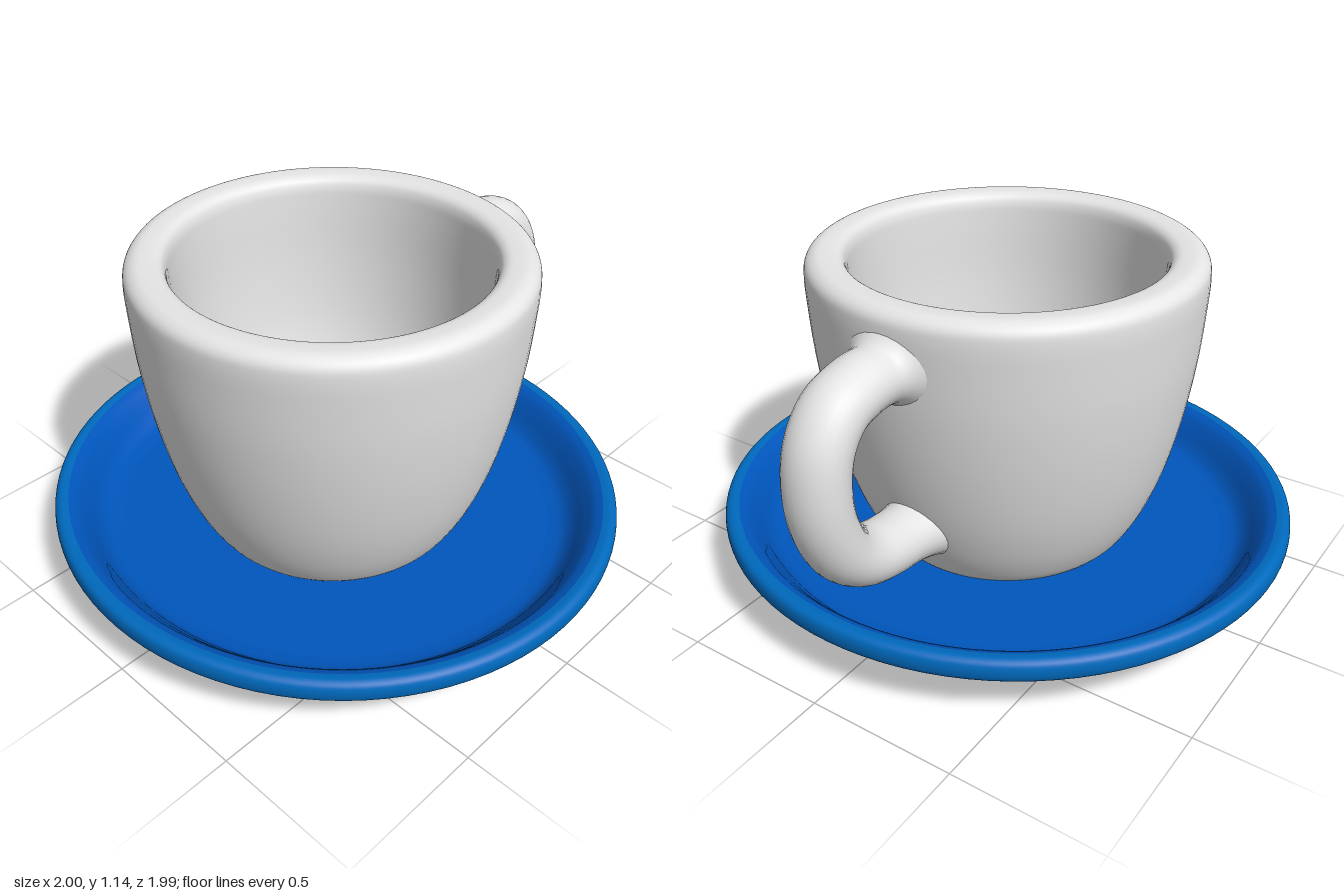
import * as THREE from 'three';

const CENTRE_X = -0.035;

function material(name, color) {
  const m = new THREE.MeshStandardMaterial({ color });
  m.name = name;
  return m;
}

// Smooth lathe through profile points listed from the bottom outwards and up
function lathe(name, points, mat, smooth = 0) {
  let profile = points.map(([r, y]) => new THREE.Vector2(r, y));
  if (smooth) profile = new THREE.SplineCurve(profile).getPoints(smooth);
  const mesh = new THREE.Mesh(new THREE.LatheGeometry(profile, 96), mat);
  mesh.name = name;
  return mesh;
}

export function createModel() {
  const model = new THREE.Group();
  model.name = 'cupAndSaucer';

  const white = material('white glaze', 0xe5e5e5);
  const rimBlue = material('rim blue', 0x0069bd);
  const plateBlue = material('plate blue', 0x0056bd);
  const navy = material('base navy', 0x0208b0);

  // Saucer: slightly oval, in three colours
  const saucer = new THREE.Group();
  saucer.name = 'saucer';
  saucer.position.x = CENTRE_X;
  saucer.scale.set(0.965, 1, 0.995);
  saucer.add(
    lathe('saucerFoot', [[0, 0], [0.77, 0]], navy),
    lathe('saucerFootSide', [[0.77, 0], [0.795, 0.012], [0.815, 0.045], [0.855, 0.09]], navy, 16),
    lathe('saucerRim', [
      [0.855, 0.09], [0.91, 0.14], [0.965, 0.163], [0.993, 0.182], [1, 0.21],
      [0.994, 0.237], [0.975, 0.249], [0.95, 0.247],
    ], rimBlue, 48),
    lathe('saucerWell', [
      [0.95, 0.247], [0.92, 0.232], [0.89, 0.2], [0.855, 0.155], [0.82, 0.129], [0.77, 0.12],
    ], plateBlue, 32),
    lathe('saucerFloor', [[0.77, 0.12], [0, 0.12]], plateBlue),
  );
  model.add(saucer);

  // Cup: tapered outer wall, rounded lip and hollow inside
  const cup = new THREE.Group();
  cup.name = 'cup';
  cup.position.x = CENTRE_X - 0.005;
  cup.add(
    lathe('cupBody', [
      [0.41, 0.11], [0.45, 0.155], [0.505, 0.26], [0.558, 0.41], [0.602, 0.6], [0.632, 0.8],
      [0.646, 0.98], [0.649, 1.07], [0.641, 1.11], [0.613, 1.132], [0.575, 1.135],
      [0.538, 1.128], [0.518, 1.1], [0.511, 1.03], [0.498, 0.8], [0.47, 0.58],
      [0.42, 0.4], [0.375, 0.315], [0.33, 0.29],
    ], white, 110),
    lathe('cupFloor', [[0.33, 0.29], [0, 0.29]], white),
  );
  model.add(cup);

  // Handle: a loop that widens where it joins the cup
  const path = new THREE.CatmullRomCurve3([
    [0.565, 0.953], [0.63, 0.949], [0.72, 0.945], [0.82, 0.912], [0.886, 0.83], [0.909, 0.71],
    [0.893, 0.58], [0.835, 0.46], [0.75, 0.392], [0.65, 0.363], [0.54, 0.352], [0.45, 0.345],
  ].map(([x, y]) => new THREE.Vector3(x, y, 0)));
  const rings = 100;
  const sides = 28;
  const geometry = new THREE.TubeGeometry(path, rings, 0.092, sides, false);
  const pos = geometry.attributes.position;
  for (let i = 0; i <= rings; i++) {
    const t = i / rings;
    const c = path.getPointAt(t);
    const flare = 1 + 0.7 * Math.max(0, 1 - t / 0.075) ** 2
      + 0.25 * Math.max(0, (t - 0.88) / 0.12) ** 2;
    for (let j = 0; j <= sides; j++) {
      const k = i * (sides + 1) + j;
      pos.setXYZ(k,
        c.x + (pos.getX(k) - c.x) * flare,
        c.y + (pos.getY(k) - c.y) * flare,
        pos.getZ(k) * flare * 1.14);
    }
  }
  geometry.computeVertexNormals();
  const handle = new THREE.Mesh(geometry, white);
  handle.name = 'handle';
  model.add(handle);

  return model;
}
